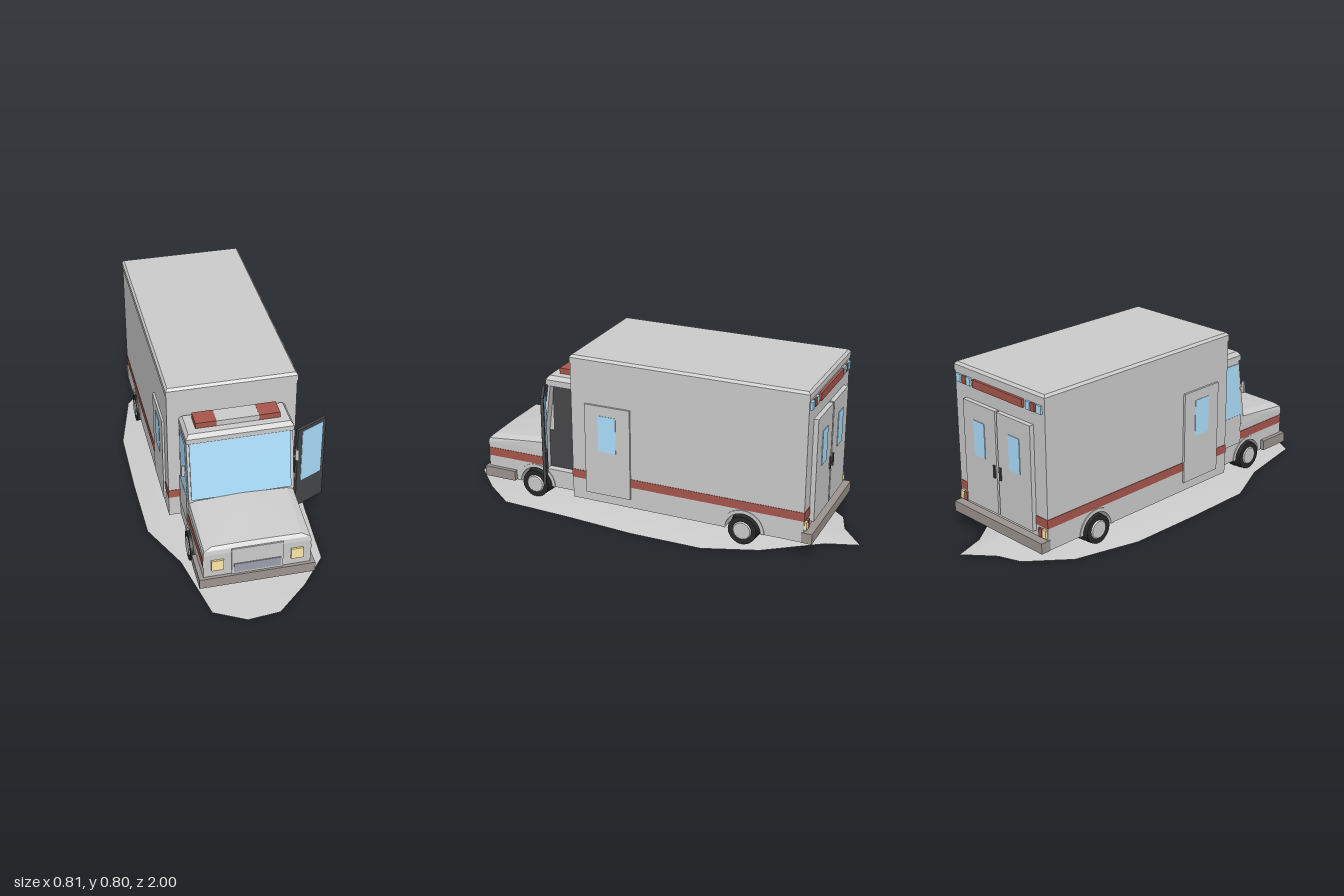
import * as THREE from 'three';
import { ConvexGeometry } from 'three/addons/geometries/ConvexGeometry.js';

const mat = (color) => new THREE.MeshStandardMaterial({ color });
const GREY = mat(0xcccccc), RED = mat(0xa8564c), GLASS = mat(0xaee0ff), DARK = mat(0x464749);
const TYRE = mat(0x282828), BUMPER = mat(0x9c9490), GRILLE = mat(0x9b9fad), LAMP = mat(0xffe9a8);

export function createModel() {
  const model = new THREE.Group();
  const add = (name, geo, material = GREY, parent = model) => {
    const mesh = new THREE.Mesh(geo, material);
    mesh.name = name;
    parent.add(mesh);
    return mesh;
  };
  // Box given by its limits on each axis
  const box = (name, [x0, x1], [y0, y1], [z0, z1], material, parent) => {
    const geo = new THREE.BoxGeometry(Math.abs(x1 - x0), Math.abs(y1 - y0), Math.abs(z1 - z0));
    const mesh = add(name, geo, material, parent);
    mesh.position.set((x0 + x1) / 2, (y0 + y1) / 2, (z0 + z1) / 2);
    return mesh;
  };
  // Side profile (z, y) extruded from x0 to x1
  const slab = (name, shape, x0, x1, material) => {
    const geo = new THREE.ExtrudeGeometry(shape, { depth: x1 - x0, bevelEnabled: false, curveSegments: 10 });
    geo.rotateY(-Math.PI / 2).translate(x1, 0, 0);
    return add(name, geo, material);
  };
  // Profile with a wheel arch cut from its lower edge
  const archedProfile = (zBack, zWheel, rest) => {
    const s = new THREE.Shape();
    s.moveTo(zBack, 0.08);
    s.lineTo(zWheel - 0.085, 0.08);
    s.absarc(zWheel, 0.08, 0.085, Math.PI, 0, true);
    rest.forEach(([z, y]) => s.lineTo(z, y));
    return s;
  };
  const hull = (name, pts) => add(name, new ConvexGeometry(pts.map((p) => new THREE.Vector3(...p))));
  // Roof cap with chamfered upper edges
  const roofCap = (name, w, y, [z0, z1], inset) => {
    const pts = [];
    [[y[0], 0], [y[1], 0], [y[2], inset]].forEach(([h, d]) => {
      for (const s of [-1, 1]) pts.push([s * (w - d), h, z0 + d], [s * (w - d), h, z1 - d]);
    });
    hull(name, pts);
  };

  // Cargo box, roof and stripe
  slab('cargoBody', archedProfile(-0.8, -0.515, [[0.34, 0.08], [0.34, 0.757], [-0.8, 0.757]]), -0.295, 0.295);
  roofCap('cargoRoof', 0.298, [0.755, 0.783, 0.795], [-0.803, 0.343], 0.01);
  box('cargoStripe', [-0.297, 0.297], [0.185, 0.227], [-0.802, 0.342], RED);

  // Cab with an open doorway on its left side
  const cabEdge = [[0.83, 0.08], [0.83, 0.255], [0.535, 0.27], [0.535, 0.31], [0.488, 0.61], [0.34, 0.61]];
  slab('cabBody', archedProfile(0.34, 0.57, cabEdge), -0.24, 0.2);
  const sideShape = archedProfile(0.34, 0.57, cabEdge);
  sideShape.holes.push(new THREE.Path(
    [[0.352, 0.17], [0.352, 0.6], [0.478, 0.6], [0.51, 0.36], [0.51, 0.17]].map((p) => new THREE.Vector2(...p))));
  slab('cabSide', sideShape, 0.2, 0.24);
  box('doorwayInterior', [0.199, 0.203], [0.165, 0.6], [0.345, 0.486], DARK);
  box('doorwayInteriorFront', [0.199, 0.203], [0.165, 0.36], [0.486, 0.515], DARK);
  roofCap('cabRoof', 0.242, [0.605, 0.63, 0.65], [0.335, 0.5], 0.014);
  for (const s of [-1, 1]) {
    const back = s > 0 ? 0.512 : 0.34;
    box('cabStripe', [s * 0.239, s * 0.242], [0.185, 0.227], [back, 0.829], RED);
    if (s > 0) box('cabStripeRear', [0.239, 0.242], [0.185, 0.227], [0.34, 0.352], RED);
  }

  // Windscreen
  const screen = add('windscreen', new THREE.BoxGeometry(0.456, 0.288, 0.008), GLASS);
  screen.position.set(0, 0.462, 0.513);
  screen.rotation.x = -Math.atan2(0.047, 0.3);

  // Bonnet and nose panel
  const bonnet = [];
  for (const s of [-1, 1]) {
    bonnet.push([s * 0.241, 0.26, 0.52], [s * 0.238, 0.302, 0.535], [s * 0.205, 0.317, 0.54],
      [s * 0.241, 0.255, 0.832], [s * 0.236, 0.274, 0.828], [s * 0.2, 0.288, 0.815]);
  }
  bonnet.push([0, 0.326, 0.54], [0, 0.291, 0.815]);
  hull('bonnet', bonnet);
  box('nosePanel', [-0.115, 0.115], [0.13, 0.272], [0.8, 0.835]);
  box('grille', [-0.105, 0.105], [0.142, 0.188], [0.83, 0.839], GRILLE);

  // Bumpers
  box('frontBumper', [-0.26, 0.26], [0.08, 0.13], [0.815, 0.845], BUMPER);
  for (const s of [-1, 1]) box('frontBumperEnd', [s * 0.235, s * 0.26], [0.08, 0.13], [0.68, 0.82], BUMPER);
  box('rearBumper', [-0.298, 0.298], [0.08, 0.13], [-0.84, -0.79], BUMPER);

  // Dark chassis filling the space between the wheels
  box('chassisFront', [-0.172, 0.172], [0.077, 0.2], [0.36, 0.8], DARK);
  box('chassisRear', [-0.2, 0.2], [0.077, 0.2], [-0.78, 0.33], DARK);

  // Roof warning lights
  box('roofLightCentre', [-0.095, 0.095], [0.648, 0.676], [0.37, 0.452]);
  for (const s of [-1, 1]) box('roofLight', [s * 0.095, s * 0.19], [0.648, 0.677], [0.37, 0.452], RED);

  // Wheels, arch lips and paired fittings
  const lip = new THREE.Shape();
  lip.absarc(0, 0, 0.102, 0, Math.PI, false);
  lip.absarc(0, 0, 0.085, Math.PI, 0, true);
  for (const s of [-1, 1]) {
    for (const [label, z, inner, outer, side] of [['front', 0.57, 0.175, 0.255, 0.24], ['rear', -0.515, 0.2, 0.306, 0.295]]) {
      const wheel = new THREE.Group();
      wheel.name = label + 'Wheel';
      wheel.position.set(s * (inner + outer) / 2, 0.085, z);
      wheel.rotation.z = -s * Math.PI / 2;
      model.add(wheel);
      const w = outer - inner;
      add('tyre', new THREE.CylinderGeometry(0.068, 0.073, w, 18), TYRE, wheel);
      add('rim', new THREE.CylinderGeometry(0.04, 0.046, 0.006, 18), GREY, wheel).position.y = w / 2 + 0.002;
      const arch = slab(label + 'ArchLip', lip, s > 0 ? side : -side - 0.004, s > 0 ? side + 0.004 : -side);
      arch.position.set(0, 0.08, z);
    }
    box('headlight', [s * 0.15, s * 0.205], [0.166, 0.222], [0.825, 0.838], LAMP);

    // Mirror on a short arm
    box('mirror', [s * 0.25, s * 0.266], [0.44, 0.497], [0.5, 0.51]);
    box('mirrorArm', [s * 0.235, s * 0.254], [0.455, 0.463], [0.498, 0.506]);

    // Cargo side door
    box('sideDoor', [s * 0.29, s * 0.305], [0.125, 0.57], [0.04, 0.268]);
    box('sideDoorWindow', [s * 0.3, s * 0.307], [0.345, 0.522], [0.11, 0.2], GLASS);

    // Rear door and lamps
    box('rearDoor', [s * 0.006, s * 0.222], [0.155, 0.645], [-0.822, -0.795]);
    box('rearDoorWindow', [s * 0.08, s * 0.152], [0.4, 0.565], [-0.825, -0.82], GLASS);
    box('rearDoorHandle', [s * 0.014, s * 0.026], [0.33, 0.39], [-0.828, -0.82], DARK);
    [[0.185, 0.21, GLASS], [0.214, 0.239, RED], [0.25, 0.28, GLASS]].forEach(([a, b, m]) =>
      box('rearMarkerLight', [s * a, s * b], [0.708, 0.745], [-0.81, -0.795], m));
    box('tailLampAmber', [s * 0.268, s * 0.29], [0.138, 0.178], [-0.81, -0.795], LAMP);
    box('tailLampRed', [s * 0.243, s * 0.265], [0.138, 0.178], [-0.81, -0.795], RED);
  }
  box('rearLightBar', [-0.165, 0.165], [0.708, 0.745], [-0.812, -0.795], RED);

  // Closed cab door on the right
  box('closedDoor', [-0.245, -0.235], [0.17, 0.32], [0.352, 0.51]);
  const pane = new THREE.Shape(
    [[0.365, 0.32], [0.515, 0.32], [0.476, 0.59], [0.365, 0.59]].map((p) => new THREE.Vector2(...p)));
  slab('closedDoorWindow', pane, -0.244, -0.236, GLASS);

  // Open cab door, swung on its front hinge
  const door = new THREE.Group();
  door.name = 'openDoor';
  door.position.set(0.256, 0, 0.503);
  door.rotation.y = 0.45;
  model.add(door);
  box('doorPanel', [0, 0.163], [0.17, 0.605], [-0.007, 0.007], DARK, door);
  box('doorWindow', [0.024, 0.143], [0.312, 0.59], [-0.009, 0.009], GLASS, door);

  // Low uneven mound of ground, built from shrinking rings of its outline
  const rim = [[0.07, -1], [-0.06, -0.89], [-0.17, -0.85], [-0.32, -0.67], [-0.4, -0.36], [-0.405, 0], [-0.4, 0.34],
    [-0.29, 0.58], [-0.22, 0.92], [-0.08, 0.995], [0.07, 0.98], [0.22, 0.84], [0.34, 0.69], [0.36, 0.34],
    [0.39, 0], [0.39, -0.35], [0.3, -0.6], [0.12, -0.85]];
  const pos = [], idx = [], n = rim.length;
  const rings = [1, 0.75, 0.5, 0.25, 0];
  rings.forEach((k, r) => rim.forEach(([x, z], j) => {
    pos.push(x * k, 0.05 * (1 - k * k), z * k);
    if (r === rings.length - 1) return;
    const a = r * n + j, b = r * n + (j + 1) % n;
    idx.push(a, b, a + n);
    if (r < rings.length - 2) idx.push(b, b + n, a + n);
  }));
  const ground = new THREE.BufferGeometry();
  ground.setAttribute('position', new THREE.Float32BufferAttribute(pos, 3));
  ground.setIndex(idx);
  ground.computeVertexNormals();
  add('groundMound', ground, new THREE.MeshStandardMaterial({ color: 0xcccccc, side: THREE.DoubleSide }));

  return model;
}
